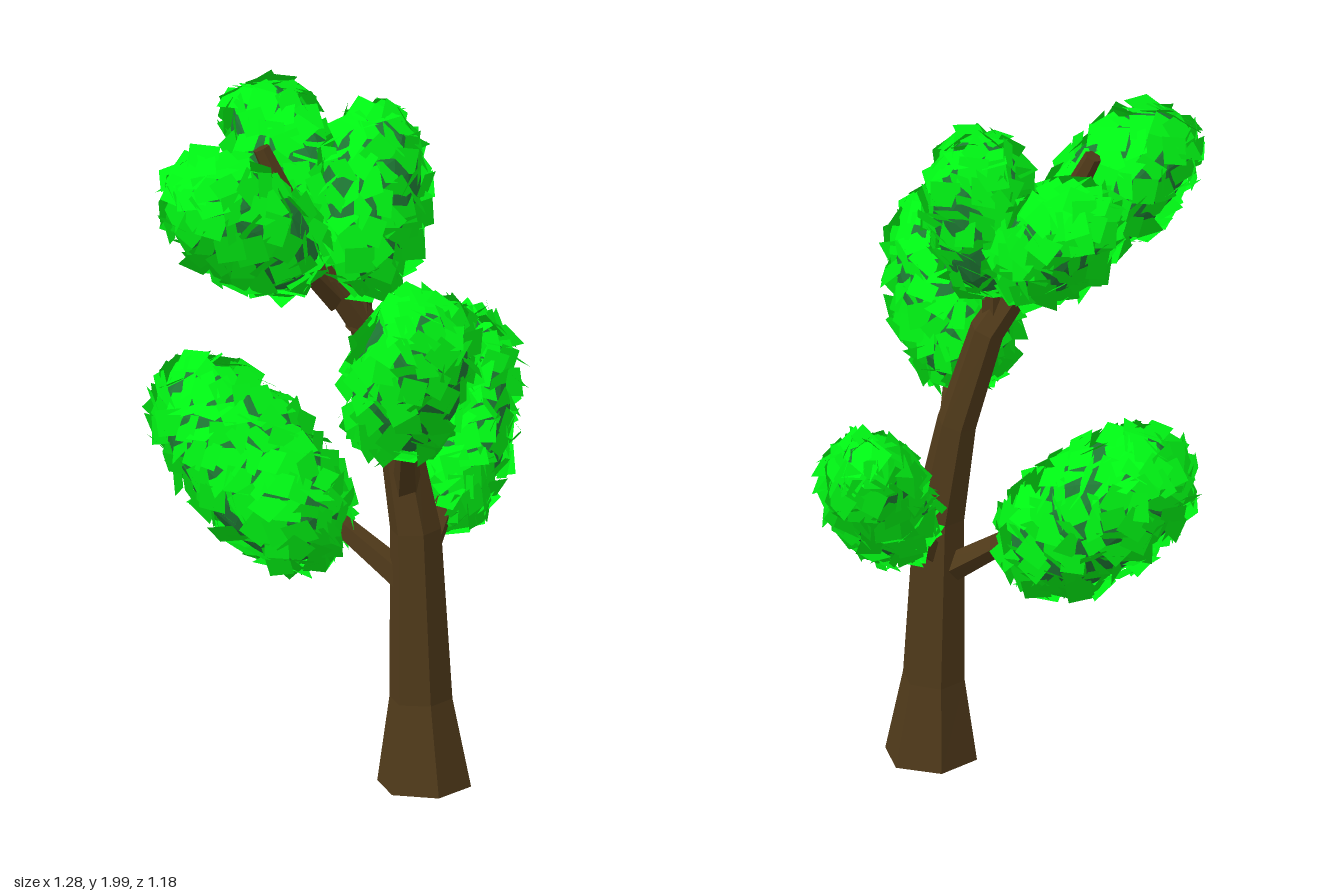
import * as THREE from 'three';
import { mergeGeometries } from 'three/addons/utils/BufferGeometryUtils.js';

const bark = new THREE.MeshStandardMaterial({ color: 0x503a1a, flatShading: true, side: THREE.DoubleSide });
const leaf = new THREE.MeshStandardMaterial({ color: 0x00f514, side: THREE.DoubleSide });
const core = new THREE.MeshStandardMaterial({ color: 0x1f7a35, flatShading: true });

// small seeded random generator
let seed = 7;
const rand = () => {
  seed = (seed * 1664525 + 1013904223) % 4294967296;
  return seed / 4294967296;
};
const spread = (a) => (rand() * 2 - 1) * a;

// Tapered faceted limb through rows of [x, y, z, radius], open at the foot
function limb(name, rows, sides) {
  const pts = rows.map((r) => new THREE.Vector3(r[0], r[1], r[2]));
  const pos = [];
  const index = [];
  rows.forEach((row, i) => {
    const dir = pts[Math.min(i + 1, pts.length - 1)].clone().sub(pts[Math.max(i - 1, 0)]).normalize();
    const u = new THREE.Vector3(0, 0, 1).cross(dir).normalize();
    const v = dir.clone().cross(u);
    for (let s = 0; s < sides; s++) {
      const a = ((s + 0.35) / sides) * Math.PI * 2;
      const p = pts[i].clone().addScaledVector(u, Math.cos(a) * row[3]).addScaledVector(v, Math.sin(a) * row[3]);
      pos.push(p.x, row[1] === 0 ? 0 : p.y, p.z);
      if (i > 0) {
        const b = i * sides + s;
        const c = i * sides + ((s + 1) % sides);
        index.push(b - sides, c - sides, c, b - sides, c, b);
      }
    }
  });
  // tip cap
  const last = (rows.length - 1) * sides;
  for (let s = 1; s < sides - 1; s++) index.push(last, last + s, last + s + 1);
  const geo = new THREE.BufferGeometry();
  geo.setAttribute('position', new THREE.Float32BufferAttribute(pos, 3));
  geo.setIndex(index);
  geo.computeVertexNormals();
  const mesh = new THREE.Mesh(geo, bark);
  mesh.name = name;
  return mesh;
}

// Pushes a unit direction out to a blunt-ended, fuller-than-round profile
const FULL = 2.4;
const fuller = (p) => p.divideScalar((Math.abs(p.y) ** FULL + Math.hypot(p.x, p.z) ** FULL) ** (1 / FULL));

// Elongated clump: dark core covered with tilted square leaves
function clump(name, center, axis, half, radius) {
  const group = new THREE.Group();
  group.name = name;

  const coreGeo = new THREE.IcosahedronGeometry(1, 2);
  const at = coreGeo.attributes.position;
  const p = new THREE.Vector3();
  for (let i = 0; i < at.count; i++) {
    fuller(p.fromBufferAttribute(at, i));
    at.setXYZ(i, p.x, p.y, p.z);
  }
  const inner = new THREE.Mesh(coreGeo, core);
  inner.name = 'foliageCore';
  inner.scale.set(radius * 0.95, half * 0.96, radius * 0.95);
  group.add(inner);

  const leaves = [];
  const count = Math.round(2000 * half * (radius + 0.45 * half));
  const zAxis = new THREE.Vector3(0, 0, 1);
  for (let i = 0; i < count; i++) {
    // even spiral over the clump
    const y = 1 - (2 * (i + 0.5)) / count;
    const a = i * 2.39996;
    const w = Math.sqrt(1 - y * y);
    fuller(p.set(Math.cos(a) * w, y, Math.sin(a) * w));
    const side = Math.hypot(p.x, p.z) ** (FULL - 2) / radius;
    const n = new THREE.Vector3(p.x * side, (p.y * Math.abs(p.y) ** (FULL - 2)) / half, p.z * side).normalize();
    p.multiply(new THREE.Vector3(radius, half, radius)).addScaledVector(n, spread(0.008));
    const size = 0.078 + spread(0.008);
    const g = new THREE.PlaneGeometry(size, size);
    g.rotateZ(rand() * Math.PI);
    g.rotateX(spread(0.72));
    g.rotateY(spread(0.72));
    g.applyQuaternion(new THREE.Quaternion().setFromUnitVectors(zAxis, n));
    g.translate(p.x, p.y, p.z);
    // soften the shading towards the overall clump shape
    const normals = g.attributes.normal;
    const soft = new THREE.Vector3().fromBufferAttribute(normals, 0).addScaledVector(n, 1.5).normalize();
    for (let k = 0; k < 4; k++) normals.setXYZ(k, soft.x, soft.y, soft.z);
    leaves.push(g);
  }
  const mesh = new THREE.Mesh(mergeGeometries(leaves), leaf);
  mesh.name = 'leaves';
  group.add(mesh);
  group.quaternion.setFromUnitVectors(new THREE.Vector3(0, 1, 0), new THREE.Vector3(...axis).normalize());
  group.position.set(...center);
  return group;
}

export function createModel() {
  seed = 7;
  const tree = new THREE.Group();
  tree.name = 'tree';

  // Trunk with flared foot, leaning to a bare tip
  tree.add(limb('trunk', [
    [0.152, 0, 0.123, 0.134], [0.15, 0.25, 0.107, 0.09], [0.137, 0.75, 0.1, 0.073],
    [0.1, 1.05, 0.06, 0.057], [0.025, 1.34, 0.02, 0.05], [-0.08, 1.5, 0, 0.043],
    [-0.17, 1.67, -0.03, 0.038], [-0.25, 1.88, -0.09, 0.025],
  ], 6));

  // Branches reaching into each clump
  tree.add(limb('leftBranch', [[0.14, 0.62, 0.1, 0.045], [0.25, 0.76, 0.03, 0.037], [0.38, 0.94, -0.12, 0.015]], 5));
  tree.add(limb('rearBranch', [[0.13, 0.58, 0.09, 0.045], [0, 0.72, -0.06, 0.033], [-0.15, 0.86, -0.24, 0.015]], 5));
  tree.add(limb('frontBranch', [[0.12, 0.84, 0.08, 0.045], [0.07, 1.0, 0.18, 0.033], [0, 1.24, 0.32, 0.015]], 5));
  tree.add(limb('upperRightBranch', [[-0.06, 1.43, 0, 0.04], [-0.18, 1.56, 0.03, 0.03], [-0.36, 1.71, 0.04, 0.012]], 5));
  tree.add(limb('upperLeftBranch', [[0, 1.34, 0.02, 0.04], [0.01, 1.52, 0.01, 0.03], [0.04, 1.74, 0, 0.012]], 5));
  tree.add(limb('upperRearBranch', [[-0.06, 1.44, 0, 0.04], [-0.06, 1.58, -0.12, 0.03], [-0.06, 1.74, -0.28, 0.012]], 5));

  // Foliage clumps
  tree.add(clump('frontFoliage', [-0.01, 1.31, 0.36], [0, 0.87, 0.495], 0.27, 0.163));
  tree.add(clump('leftFoliage', [0.412, 0.957, -0.14], [0.42, 0.69, -0.56], 0.315, 0.13));
  tree.add(clump('rearFoliage', [-0.185, 0.875, -0.28], [-0.394, 0.668, -0.627], 0.335, 0.183));
  tree.add(clump('upperRightFoliage', [-0.37, 1.71, 0.04], [-0.77, 0.62, 0], 0.26, 0.15));
  tree.add(clump('upperLeftFoliage', [0.045, 1.71, 0], [0.18, 0.95, -0.14], 0.25, 0.147));
  tree.add(clump('upperRearFoliage', [-0.055, 1.738, -0.295], [-0.13, 0.68, -0.72], 0.25, 0.136));

  return tree;
}
